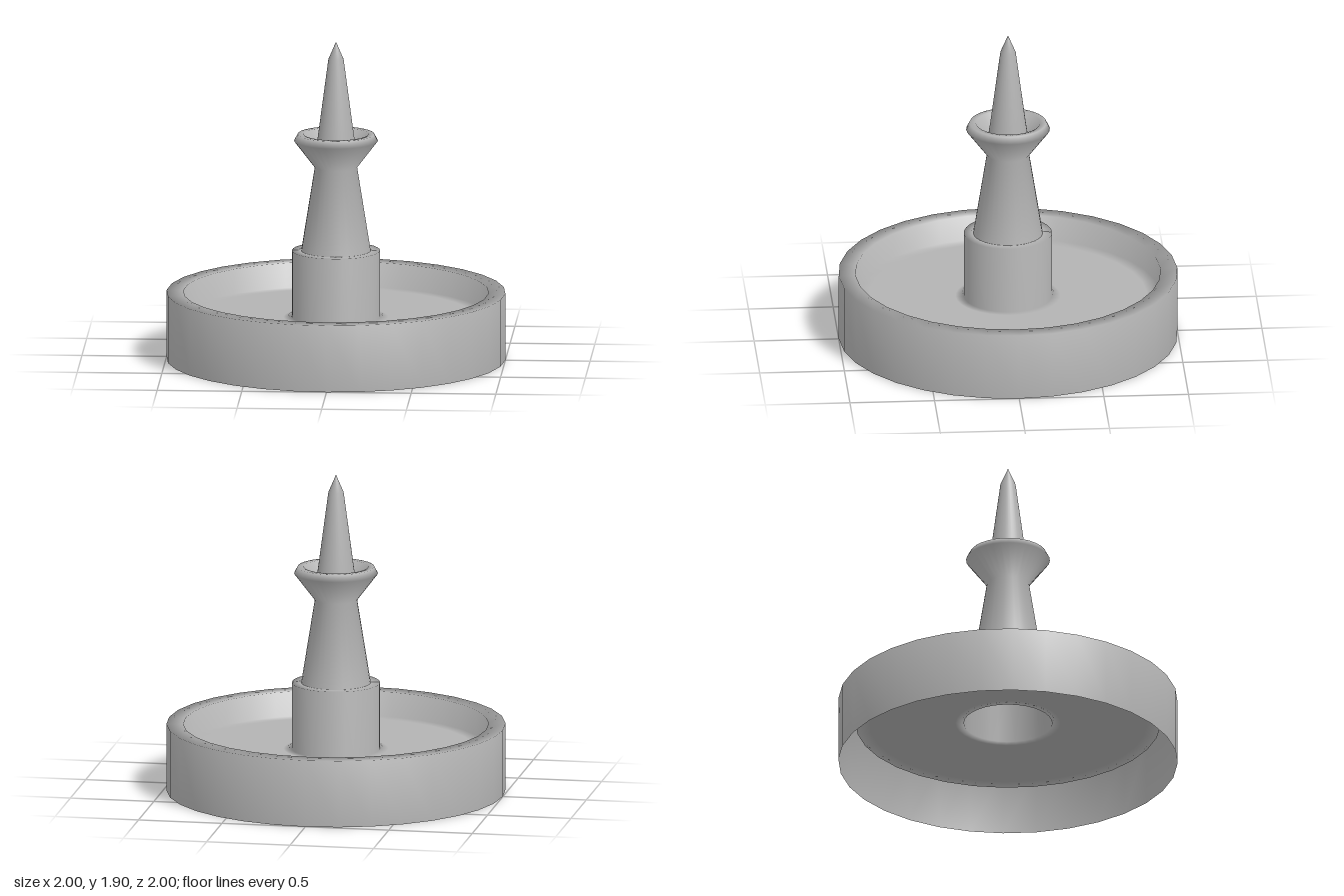
import * as THREE from 'three';

const SEGMENTS = 32;

export function createModel() {
  const model = new THREE.Group();
  model.name = 'fountain';

  const stone = new THREE.MeshStandardMaterial({ color: 0xb3b3b3, side: THREE.DoubleSide });
  stone.name = 'grey stone';

  // Turns a [radius, height] profile, listed from the outside in, around the y axis
  const turn = (name, profile) => {
    const points = profile.map(([r, y]) => new THREE.Vector2(r, y));
    const mesh = new THREE.Mesh(new THREE.LatheGeometry(points, SEGMENTS), stone);
    mesh.name = name;
    model.add(mesh);
  };

  // Thin-shelled pool, open underneath: outer wall, rim, inner wall, floor and plinth
  turn('basin', [
    [1, 0], [1, 0.4], [0.9, 0.4], [0.9, 0.25], [0.82, 0.25],
    [0.31, 0.25], [0.26, 0.25], [0.26, 0.65], [0.205, 0.65],
  ]);

  // Tapered column flaring into a small hollow bowl
  turn('columnAndBowl', [
    [0.205, 0.65], [0.125, 1.15], [0.247, 1.31], [0.226, 1.35],
    [0.19, 1.35], [0.12, 1.25],
  ]);

  // Pointed jet rising from the bowl
  turn('spire', [[0.12, 1.25], [0.105, 1.35], [0.045, 1.8], [0, 1.905]]);

  return model;
}
